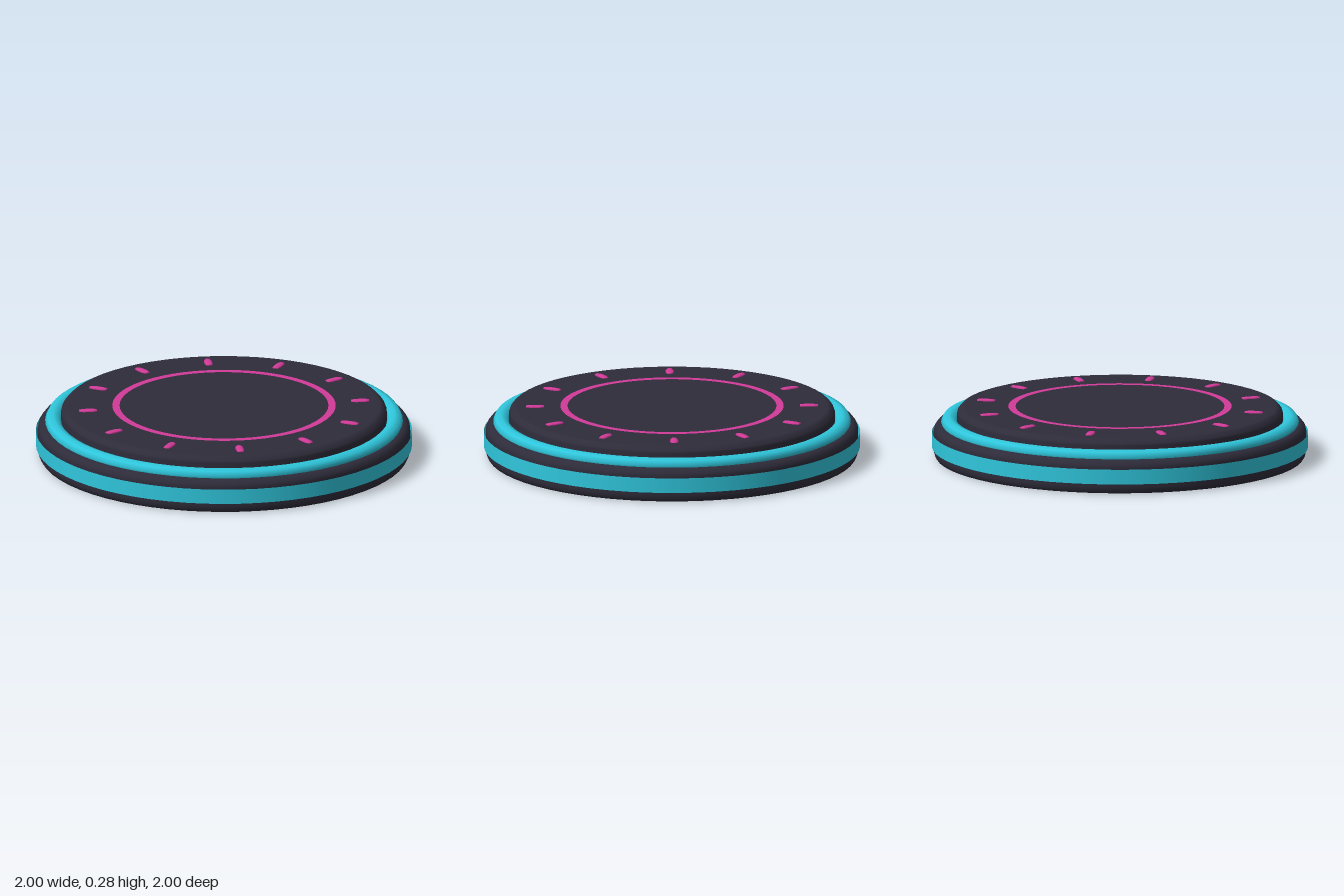
import * as THREE from 'three';

const SEG = 64;

function material(name, color, side = THREE.FrontSide) {
  const m = new THREE.MeshStandardMaterial({ color, side });
  m.name = name;
  return m;
}

// Turned part from [radius, height] pairs, listed bottom to top
function turned(points, segments = SEG) {
  return new THREE.LatheGeometry(points.map(([r, y]) => new THREE.Vector2(r, y)), segments);
}

export function createModel() {
  const model = new THREE.Group();
  model.name = 'discPlatform';
  const dark = material('charcoal', 0x2e2c3a);
  const teal = material('teal', 0x2fc6dc, THREE.DoubleSide);
  const pink = material('pink', 0xd13a98);

  const add = (name, geometry, mat, parent = model) => {
    const mesh = new THREE.Mesh(geometry, mat);
    mesh.name = name;
    parent.add(mesh);
    return mesh;
  };

  // Base disc with softened rims
  add('base', turned([
    [0, 0], [0.965, 0], [0.978, 0.003], [0.987, 0.02], [0.99, 0.04],
    [0.99, 0.14], [0.986, 0.158], [0.972, 0.175], [0.955, 0.18], [0.94, 0.18], [0, 0.18],
  ]), dark);

  // Open band standing slightly proud of the base
  const band = add('sideBand', new THREE.CylinderGeometry(1, 1, 0.08, SEG, 1, true), teal);
  band.position.y = 0.095;

  // Half-sunken glowing ring
  const ring = add('rimRing', new THREE.TorusGeometry(0.908, 0.043, 8, SEG), teal);
  ring.rotation.x = -Math.PI / 2;
  ring.position.y = 0.185;
  ring.position.y = 0.19;
  ring.scale.z = 0.82;

  // Raised deck with a chamfered edge
  add('deck', turned([
    [0.866, 0.17], [0.866, 0.236], [0.862, 0.248], [0.845, 0.266],
    [0.832, 0.27], [0.815, 0.27], [0, 0.27],
  ]), dark);

  // Flat circle inlaid on the deck
  const circle = add('deckCircle', new THREE.RingGeometry(0.555, 0.594, SEG), pink);
  circle.rotation.x = -Math.PI / 2;
  circle.position.y = 0.273;

  // Twelve rounded tick marks
  const markers = new THREE.Group();
  markers.name = 'tickMarks';
  model.add(markers);
  const tick = turned([
    [0, -0.048], [0.016, -0.047], [0.022, -0.022],
    [0.022, 0.022], [0.016, 0.047], [0, 0.048],
  ], 8);
  tick.rotateX(Math.PI / 2);
  tick.scale(1, 0.45, 1);
  for (let i = 0; i < 12; i++) {
    const a = (i / 12) * Math.PI * 2;
    const mark = add('tickMark', tick, pink, markers);
    mark.position.set(Math.sin(a) * 0.728, 0.27, Math.cos(a) * 0.728);
    mark.rotation.y = a;
  }
  return model;
}
